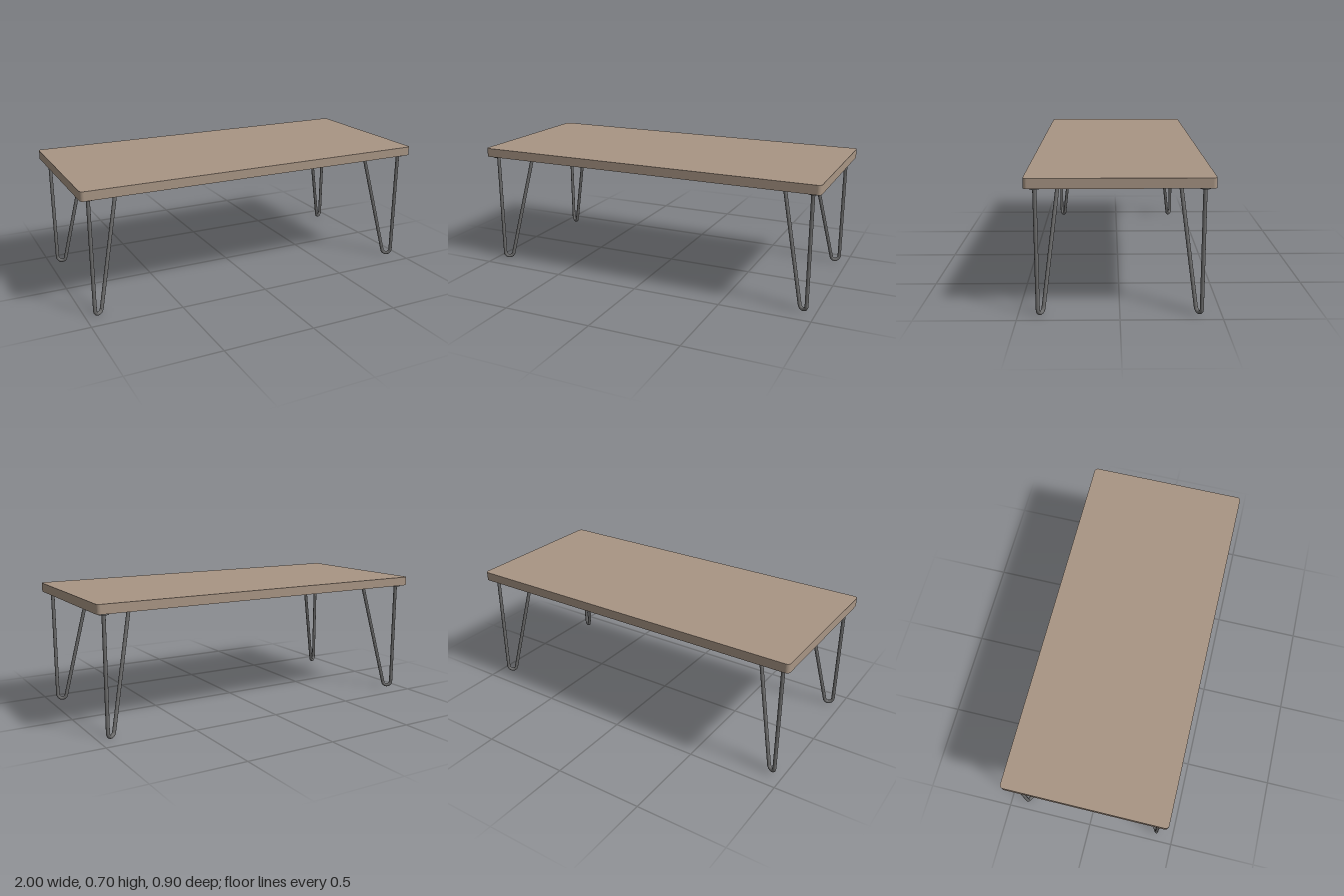
import * as THREE from 'three';

const TOP_Y = 0.65, TOP_T = 0.05, PLATE_T = 0.01;
const ROD = 0.01, BEND = 0.025;

// Planar bend swept from one angle to another, in the leg's own plane
class BendCurve extends THREE.Curve {
  constructor(place, cy, a0, a1) {
    super();
    Object.assign(this, { place, cy, a0, a1 });
  }
  getPoint(t, target = new THREE.Vector3()) {
    const a = this.a0 + (this.a1 - this.a0) * t;
    return target.copy(this.place(BEND + BEND * Math.cos(a), this.cy + BEND * Math.sin(a)));
  }
}

// Rounded rectangular slab
function makeTop(material) {
  const x = 1, z = 0.45, r = 0.02;
  const s = new THREE.Shape();
  s.absarc(x - r, z - r, r, 0, Math.PI / 2);
  s.absarc(-x + r, z - r, r, Math.PI / 2, Math.PI);
  s.absarc(-x + r, -z + r, r, Math.PI, Math.PI * 1.5);
  s.absarc(x - r, -z + r, r, Math.PI * 1.5, Math.PI * 2);
  s.closePath();
  const g = new THREE.ExtrudeGeometry(s, { depth: TOP_T, bevelEnabled: false, curveSegments: 8 });
  g.rotateX(-Math.PI / 2).translate(0, TOP_Y, 0);
  const mesh = new THREE.Mesh(g, material);
  mesh.name = 'tableTop';
  return mesh;
}

// Hairpin leg: upright rod, bend at the foot, slanted rod, two mounting discs
function makeLeg(sx, sz, material) {
  const leg = new THREE.Group();
  const outer = new THREE.Vector2(0.95 * sx, 0.4 * sz);
  const inner = new THREE.Vector2(0.775 * sx, 0.3 * sz);
  const span = outer.distanceTo(inner);
  const dir = inner.clone().sub(outer).normalize();
  const place = (s, y) => new THREE.Vector3(outer.x + dir.x * s, y, outer.y + dir.y * s);

  // Angle at which the slanted rod meets the bend tangentially
  const cy = ROD + BEND, h = TOP_Y - PLATE_T / 2;
  const dx = span - BEND, dy = h - cy;
  const end = Math.atan2(dy, dx) - Math.acos(BEND / Math.hypot(dx, dy));
  const bend = new BendCurve(place, cy, -Math.PI, end);

  const add = (name, geometry) => {
    const mesh = new THREE.Mesh(geometry, material);
    mesh.name = name;
    leg.add(mesh);
    return mesh;
  };
  const tube = (curve, n) => new THREE.TubeGeometry(curve, n, ROD, 16, false);
  add('uprightRod', tube(new THREE.LineCurve3(place(0, h), place(0, cy)), 1));
  add('footBend', tube(bend, 16));
  add('slantedRod', tube(new THREE.LineCurve3(bend.getPoint(1), place(span, h)), 1));
  for (const s of [0, span]) {
    add('mountingDisc', new THREE.CylinderGeometry(0.027, 0.027, PLATE_T, 24))
      .position.copy(place(s, TOP_Y - PLATE_T / 2));
  }
  leg.name = (sz > 0 ? 'front' : 'back') + (sx > 0 ? 'Left' : 'Right') + 'Leg';
  return leg;
}

export function createModel() {
  const wood = new THREE.MeshStandardMaterial({ color: 0xa89584 });
  wood.name = 'wood';
  const steel = new THREE.MeshStandardMaterial({ color: 0x6c6c6c });
  steel.name = 'steel';

  const table = new THREE.Group();
  table.name = 'table';
  table.add(makeTop(wood));
  for (const sx of [-1, 1]) for (const sz of [-1, 1]) table.add(makeLeg(sx, sz, steel));
  return table;
}
